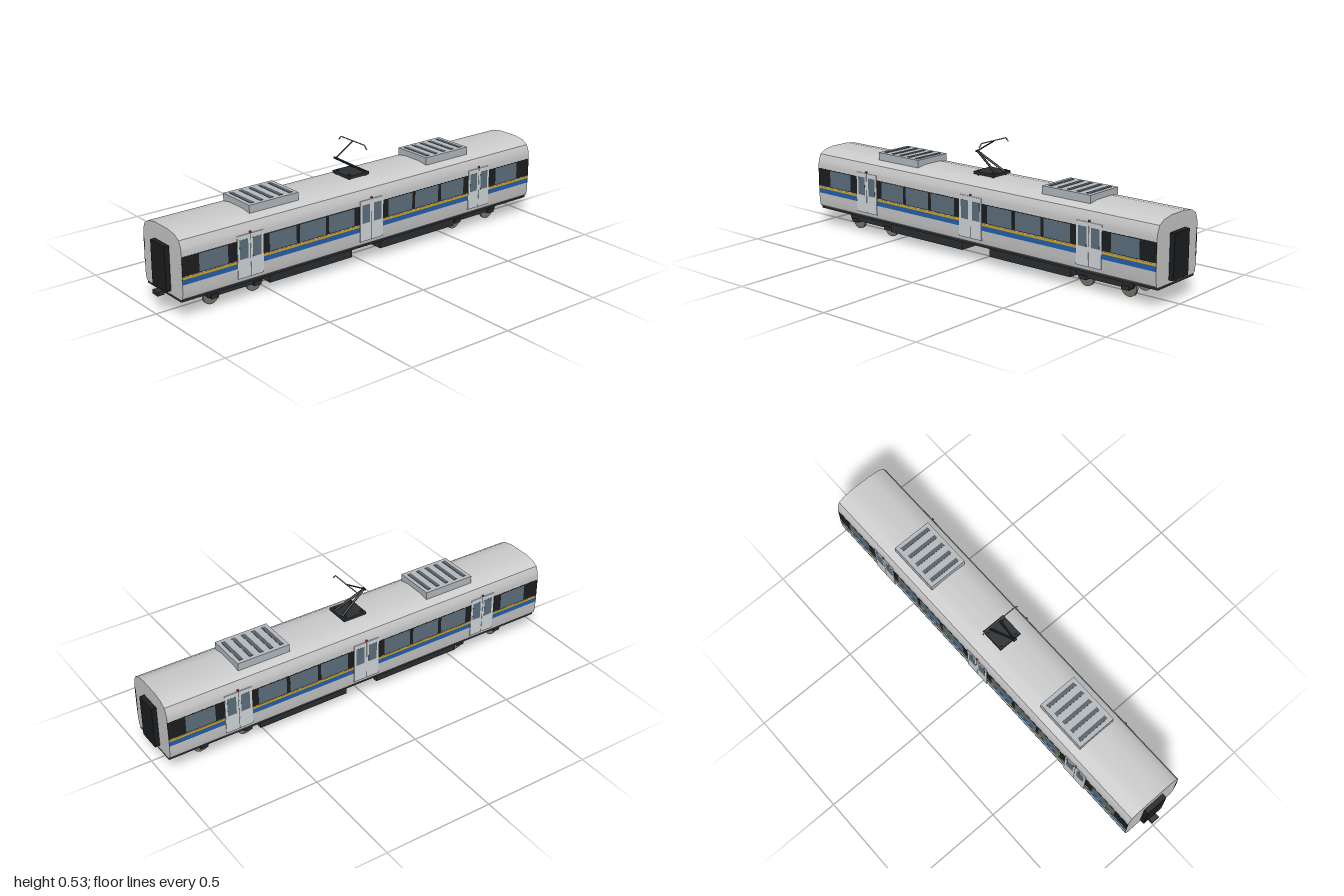
import * as THREE from 'three';
import { toCreasedNormals } from 'three/addons/utils/BufferGeometryUtils.js';

const mat = (color) => new THREE.MeshStandardMaterial({ color });
const M = {
  shell: mat(0xcccccc), door: mat(0xd2d8dc), black: mat(0x1c1e20), dark: mat(0x2b2f33),
  glass: mat(0x5d707d), blue: mat(0x2360ae), yellow: mat(0xd9a91e), unit: mat(0xb4babf),
  slat: mat(0x5a6068), wheel: mat(0x77726a), red: mat(0xc03020), steel: mat(0x9a9c9e),
};

function add(parent, name, geometry, material, x = 0, y = 0, z = 0) {
  const mesh = new THREE.Mesh(geometry, material);
  mesh.name = name;
  mesh.position.set(x, y, z);
  parent.add(mesh);
  return mesh;
}

// Box given by its extents on each axis
function box(parent, name, material, [x0, x1], [y0, y1], [z0, z1]) {
  return add(parent, name, new THREE.BoxGeometry(x1 - x0, y1 - y0, z1 - z0), material,
    (x0 + x1) / 2, (y0 + y1) / 2, (z0 + z1) / 2);
}

// Round rod between two points
function rod(parent, name, material, a, b, radius) {
  const p = new THREE.Vector3(...a), q = new THREE.Vector3(...b);
  const d = q.clone().sub(p);
  const mesh = add(parent, name, new THREE.CylinderGeometry(radius, radius, d.length(), 8), material);
  mesh.position.copy(p).add(q).multiplyScalar(0.5);
  mesh.quaternion.setFromUnitVectors(new THREE.Vector3(0, 1, 0), d.normalize());
  return mesh;
}

function group(parent, name, z = 0) {
  const g = new THREE.Group();
  g.name = name;
  g.position.z = z;
  parent.add(g);
  return g;
}

const HALF = 0.967;
const DOORS = [0.64, 0, -0.64];

// Rounded body section swept along the car
function buildShell(car) {
  const half = [[0.128, 0.092], [0.138, 0.1], [0.143, 0.13], [0.1435, 0.3], [0.141, 0.32],
    [0.129, 0.349], [0.1, 0.366], [0.048, 0.375]];
  const outline = [...half, ...half.map(([x, y]) => [-x, y]).reverse()];
  const shape = new THREE.Shape(outline.map(([x, y]) => new THREE.Vector2(x, y)));
  const geo = new THREE.ExtrudeGeometry(shape, { depth: 2 * HALF, bevelEnabled: false });
  geo.translate(0, 0, -HALF);
  add(car, 'bodyShell', toCreasedNormals(geo, 0.6), M.shell);
  box(car, 'underframe', M.dark, [-0.128, 0.128], [0.083, 0.094], [-HALF, HALF]);
}

// Window band, stripes, glass and doors of one side
function buildSide(car, s) {
  const side = group(car, s > 0 ? 'leftSide' : 'rightSide');
  const panel = (name, material, out, y, z) =>
    box(side, name, material, [s > 0 ? 0.135 : -out, s > 0 ? out : -0.135], y, z);

  panel('windowBand', M.black, 0.1443, [0.198, 0.283], [-HALF, HALF]);
  panel('yellowStripe', M.yellow, 0.1443, [0.185, 0.195], [-HALF, HALF]);
  panel('blueStripe', M.blue, 0.1443, [0.163, 0.185], [-HALF, HALF]);

  // Three windows between doors, one towards each end
  for (const e of [1, -1]) {
    for (const c of [0.165, 0.32, 0.475, 0.818]) {
      panel('window', M.glass, 0.1448, [0.201, 0.28], [e * c - 0.069, e * c + 0.069]);
    }
  }

  // Double doors with a signal lamp above
  for (const z of DOORS) {
    for (const e of [1, -1]) {
      const c = z + e * 0.0325;
      panel('doorLeaf', M.door, 0.1462, [0.117, 0.305], [c - 0.0315, c + 0.0315]);
      panel('doorWindow', M.glass, 0.1466, [0.2, 0.285], [c - 0.021, c + 0.021]);
    }
    panel('doorGap', M.dark, 0.1452, [0.117, 0.305], [z - 0.002, z + 0.002]);
    panel('doorLamp', M.red, 0.1485, [0.307, 0.314], [z - 0.004, z + 0.004]);
  }
}

function buildRoofUnit(car, z) {
  const unit = group(car, 'roofUnit', z);
  box(unit, 'unitCase', M.unit, [-0.095, 0.095], [0.36, 0.402], [-0.125, 0.125]);
  for (let i = -2; i <= 2; i++) {
    box(unit, 'ventSlat', M.slat, [-0.077, 0.077], [0.398, 0.404], [i * 0.049 - 0.009, i * 0.049 + 0.009]);
  }
}

function buildPantograph(car) {
  const p = group(car, 'pantograph');
  box(p, 'pantographBase', M.dark, [-0.057, 0.057], [0.381, 0.393], [-0.057, 0.057]);
  for (const x of [-0.042, 0.042]) {
    for (const z of [-0.042, 0.042]) {
      add(p, 'insulator', new THREE.CylinderGeometry(0.007, 0.007, 0.03, 10), M.dark, x, 0.382, z);
    }
  }
  // Two lower arms meet at the knee, one upper arm carries the head
  for (const x of [-0.029, 0.029]) rod(p, 'lowerArm', M.black, [x, 0.391, -0.05], [0, 0.47, 0.085], 0.005);
  rod(p, 'knee', M.black, [-0.009, 0.47, 0.085], [0.009, 0.47, 0.085], 0.005);
  rod(p, 'upperArm', M.dark, [0, 0.47, 0.085], [0, 0.527, -0.01], 0.003);
  const head = [[-0.097, 0.512], [-0.081, 0.529], [0.081, 0.529], [0.097, 0.512]];
  for (let i = 0; i < 3; i++) {
    rod(p, 'collectorStrip', M.steel, [...head[i], -0.01], [...head[i + 1], -0.01], 0.0027);
  }
}

function buildBogie(car, z) {
  const bogie = group(car, 'bogie', z);
  box(bogie, 'bolster', M.dark, [-0.082, 0.082], [0.045, 0.076], [-0.045, 0.045]);

  // Tapered side frames
  const frame = new THREE.Shape([[-0.15, 0.078], [-0.135, 0.043], [0.135, 0.043], [0.15, 0.078]]
    .map(([a, b]) => new THREE.Vector2(a, b)));
  const frameGeo = new THREE.ExtrudeGeometry(frame, { depth: 0.018, bevelEnabled: false });
  frameGeo.rotateY(Math.PI / 2);
  for (const s of [1, -1]) {
    add(bogie, 'sideFrame', frameGeo, M.dark, s * 0.073 - 0.009, 0, 0);
    add(bogie, 'spring', new THREE.CylinderGeometry(0.012, 0.012, 0.012, 12), M.red, s * 0.073, 0.079, 0);
  }

  // Wheelsets
  for (const w of [0.107, -0.107]) {
    rod(bogie, 'axle', M.dark, [-0.07, 0.038, w], [0.07, 0.038, w], 0.007);
    for (const s of [1, -1]) {
      const wheel = add(bogie, 'wheel', new THREE.CylinderGeometry(0.038, 0.038, 0.012, 28), M.wheel, s * 0.054, 0.038, w);
      wheel.rotation.z = Math.PI / 2;
      const x = s * 0.076;
      box(bogie, 'axleBox', M.dark, [x - 0.014, x + 0.014], [0.036, 0.054], [w - 0.018, w + 0.018]);
    }
  }
}

export function createModel() {
  const model = new THREE.Group();
  model.name = 'railCar';
  const car = group(model, 'car', -0.0105);

  buildShell(car);
  for (const s of [1, -1]) {
    buildSide(car, s);
    buildRoofUnit(car, s * 0.482);
    buildBogie(car, s * 0.676);
    // Gangway at each end, equipment case below the floor
    const z = [s * 0.95, s * 0.9895].sort((a, b) => a - b);
    box(car, 'gangway', M.black, [-0.053, 0.053], [0.108, 0.304], z);
    const e = [s * 0.08, s * 0.522].sort((a, b) => a - b);
    box(car, 'equipmentCase', M.dark, [-0.109, 0.109], [0.04, 0.084], e);
  }
  buildPantograph(car);

  // Front coupler
  box(car, 'couplerBar', M.dark, [-0.012, 0.012], [0.086, 0.099], [0.95, 0.985]);
  box(car, 'couplerHead', M.dark, [-0.02, 0.02], [0.084, 0.102], [0.978, 1.0105]);
  return model;
}
